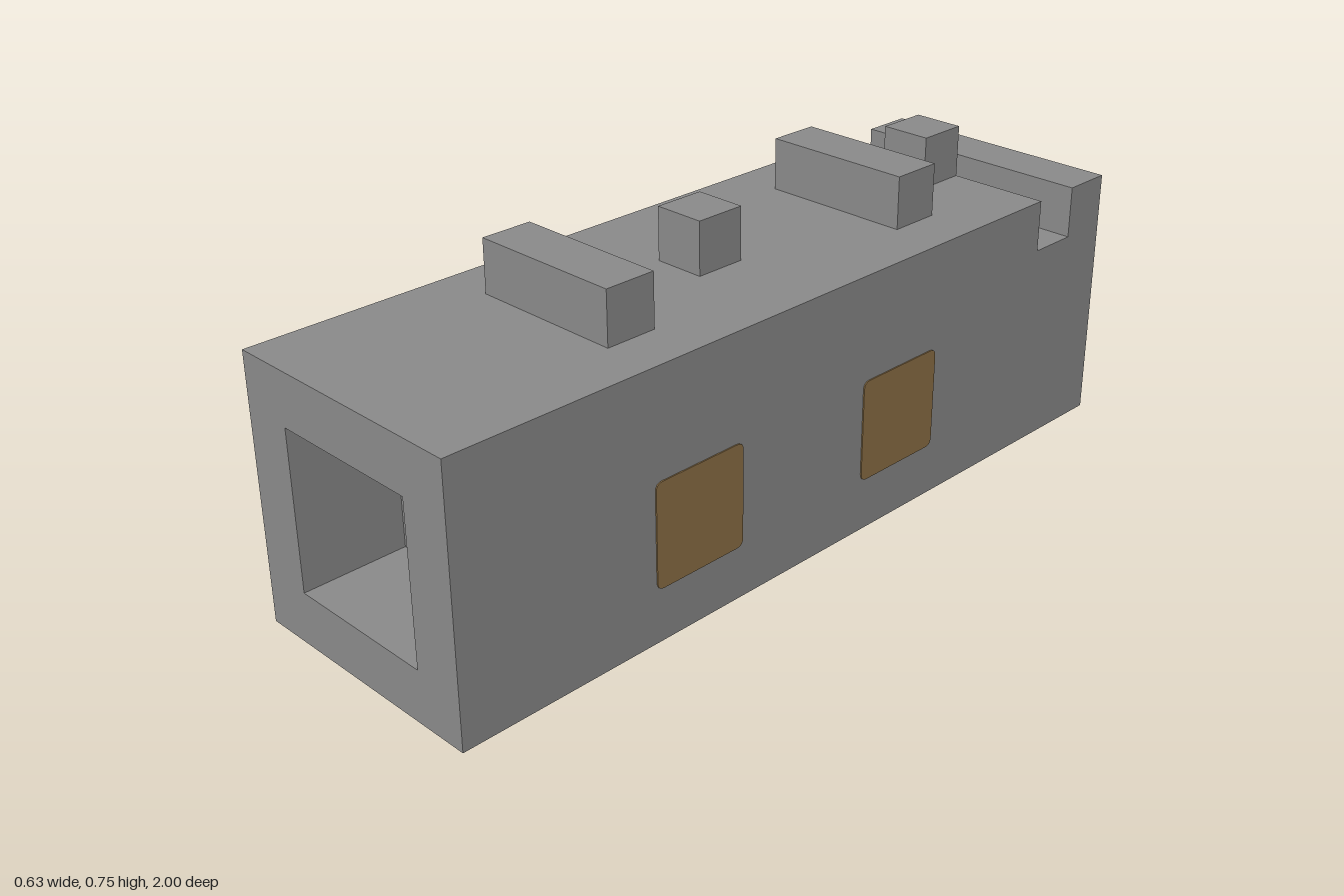
import * as THREE from 'three';

export function createModel() {
  const model = new THREE.Group();
  const stone = new THREE.MeshStandardMaterial({ color: 0x888888 });
  stone.name = 'grey';
  const amber = new THREE.MeshStandardMaterial({ color: 0x8a6e44 });
  amber.name = 'amber brown';

  const U = 0.125; // block unit
  const W = 2.5 * U, H = 5 * U, BACK = 0.25; // half width, height, cavity back wall

  const add = (name, geometry, material, x = 0, y = 0, z = 0) => {
    const mesh = new THREE.Mesh(geometry, material);
    mesh.name = name;
    mesh.position.set(x, y, z);
    model.add(mesh);
    return mesh;
  };
  const polygon = pts => pts.map(([x, y]) => new THREE.Vector2(x, y));
  const extrude = (shape, depth) =>
    new THREE.ExtrudeGeometry(shape, { depth, bevelEnabled: false, curveSegments: 4 });

  // Front half: a square tube around the open mouth
  const frame = new THREE.Shape(polygon([[-W, 0], [W, 0], [W, H], [-W, H]]));
  frame.holes.push(new THREE.Path(polygon([
    [-1.5 * U, U], [-1.5 * U, 4 * U], [1.5 * U, 4 * U], [1.5 * U, U]])));
  add('frontBody', extrude(frame, 1 - BACK), stone, 0, 0, BACK);

  // Rear half: side profile with the cross slot near the back
  const profile = new THREE.Shape(polygon([
    [-BACK, 0], [1, 0], [1, H], [7 * U, H], [7 * U, 4 * U],
    [6 * U, 4 * U], [6 * U, H], [-BACK, H]]));
  add('rearBody', extrude(profile, 2 * W).rotateY(Math.PI / 2), stone, -W);

  // Blocks inside the mouth: long ones in the corners, short ones between
  for (const y of [1.5 * U, 3.5 * U]) {
    for (const column of [-1, 0, 1]) {
      const length = column ? 0.5 : 0.25;
      add(column ? 'cornerBlock' : 'middleBlock', new THREE.BoxGeometry(U, U, length),
        stone, column * U, y, BACK + length / 2);
    }
  }

  // Alternating bars and studs along the top
  for (const z of [3.5 * U, -3.5 * U])
    add('topBar', new THREE.BoxGeometry(3 * U, U, U), stone, 0, H + U / 2, z);
  for (const z of [0.5 * U, -5.5 * U])
    add('topStud', new THREE.BoxGeometry(U, U, U), stone, 0, H + U / 2, z);

  // Rounded square side panels, two on each side
  const h = 0.123, r = 0.018;
  const panel = new THREE.Shape();
  panel.moveTo(-h + r, -h);
  panel.lineTo(h - r, -h);
  panel.quadraticCurveTo(h, -h, h, -h + r);
  panel.lineTo(h, h - r);
  panel.quadraticCurveTo(h, h, h - r, h);
  panel.lineTo(-h + r, h);
  panel.quadraticCurveTo(-h, h, -h, h - r);
  panel.lineTo(-h, -h + r);
  panel.quadraticCurveTo(-h, -h, -h + r, -h);
  const panelGeometry = extrude(panel, 0.003);
  for (const side of [-1, 1]) {
    for (const z of [3 * U, -2 * U]) {
      const plate = add(side > 0 ? 'leftPanel' : 'rightPanel', panelGeometry, amber,
        side * W, 2 * U, z);
      plate.rotation.y = side * Math.PI / 2;
    }
  }
  return model;
}
